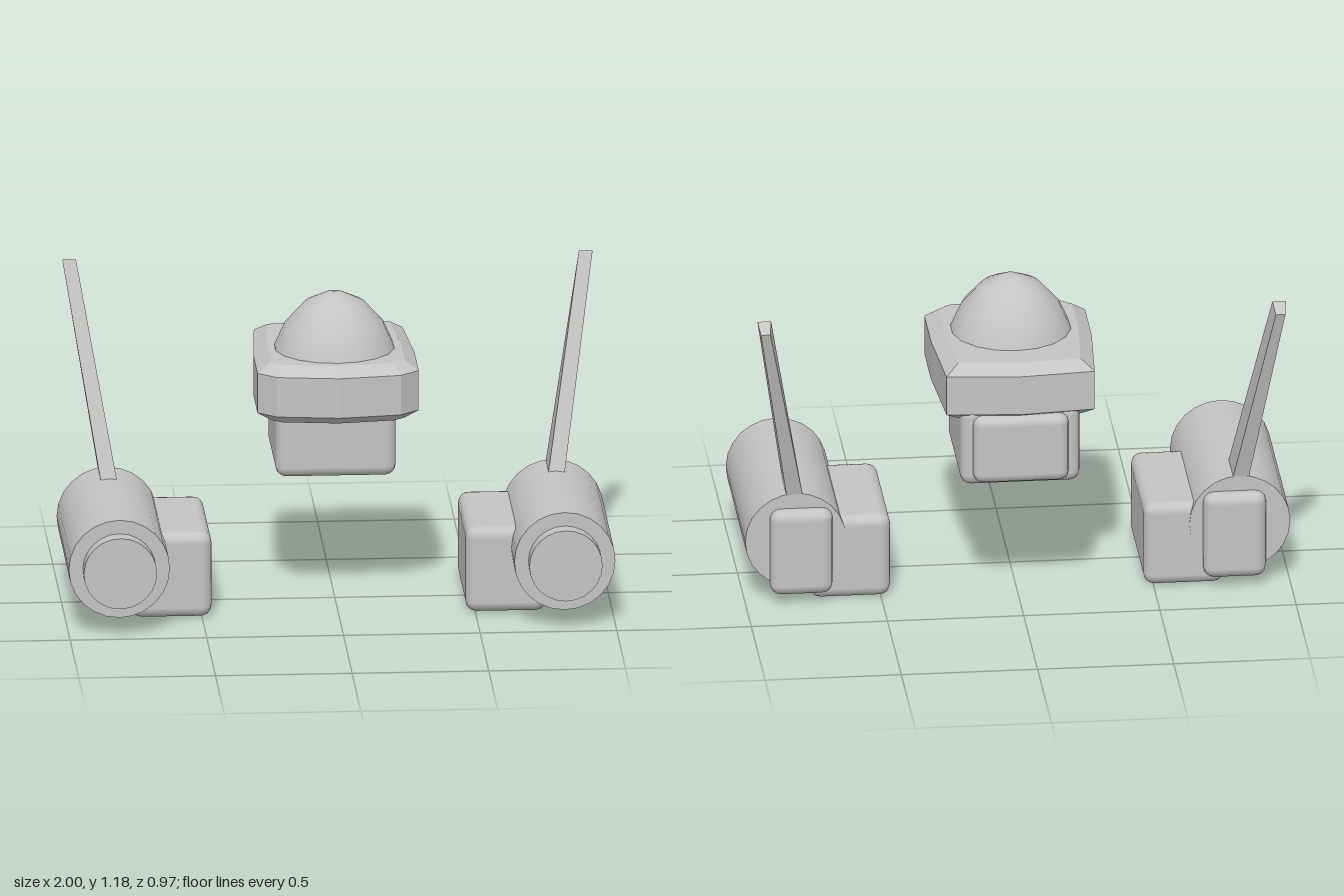
import * as THREE from 'three';
import { RoundedBoxGeometry } from 'three/addons/geometries/RoundedBoxGeometry.js';

const grey = new THREE.MeshStandardMaterial({ color: 0xc4c4c4 });
grey.name = 'light grey';

function add(parent, name, geometry, x = 0, y = 0, z = 0) {
  const mesh = new THREE.Mesh(geometry, grey);
  mesh.name = name;
  mesh.position.set(x, y, z);
  parent.add(mesh);
  return mesh;
}

// Soft-edged box given by its limits on each axis
function softBox(parent, name, [x0, x1], [y0, y1], [z0, z1], radius) {
  const geometry = new RoundedBoxGeometry(x1 - x0, y1 - y0, z1 - z0, 2, radius);
  return add(parent, name, geometry, (x0 + x1) / 2, (y0 + y1) / 2, (z0 + z1) / 2);
}

// Limits mirrored to the given side
const span = (side, a, b) => (side > 0 ? [a, b] : [-b, -a]);

// Cylinder along z between two depths
function barrel(parent, name, radius, z0, z1, x, y) {
  const geometry = new THREE.CylinderGeometry(radius, radius, z1 - z0, 24).rotateX(Math.PI / 2);
  return add(parent, name, geometry, x, y, (z0 + z1) / 2);
}

// Slab with bulging sides and bevelled rims
function brimGeometry() {
  const half = [[0, 0.228], [0.205, 0.2], [0.245, 0.165], [0.245, -0.05], [0.225, -0.342], [0, -0.362]];
  const outline = [...half, ...half.slice(1, -1).reverse().map(([x, z]) => [-x, z])];
  const shape = new THREE.Shape(outline.map(([x, z]) => new THREE.Vector2(x, -z)));
  return new THREE.ExtrudeGeometry(shape, {
    depth: 0.15, bevelEnabled: true, bevelSegments: 1, bevelSize: 0.05, bevelThickness: 0.034,
  }).rotateX(-Math.PI / 2);
}

// Tapered blade sweeping up, outward and back, with a slanted tip
function finGeometry(side) {
  const geometry = new THREE.BoxGeometry(1, 1, 1);
  const p = geometry.attributes.position;
  const mix = THREE.MathUtils.lerp;
  for (let i = 0; i < p.count; i++) {
    const tip = p.getY(i) > 0;
    const front = p.getZ(i) > 0;
    const width = tip ? (front ? 0.05 : 0.035) : 0.06;
    const x = side * (tip ? 0.945 : 0.812) + p.getX(i) * width;
    const y = tip ? (front ? 1.178 : 1.147) : 0.38;
    const z = tip ? mix(-0.482, -0.428, +front) : mix(-0.272, -0.108, +front);
    p.setXYZ(i, x, y, z);
  }
  geometry.computeVertexNormals();
  return geometry;
}

export function createModel() {
  const model = new THREE.Group();
  model.name = 'model';

  // Central head with brim, dome and back panel
  const head = new THREE.Group();
  head.name = 'head';
  model.add(head);
  softBox(head, 'headBlock', [-0.22, 0.22], [0.475, 0.78], [-0.395, 0.075], 0.04);
  softBox(head, 'backPanel', [-0.175, 0.175], [0.495, 0.755], [-0.432, -0.33], 0.035);
  add(head, 'brim', brimGeometry(), 0, 0.761, 0);
  const profile = [[0.222, 0.93], [0.22, 0.95], [0.182, 1.035], [0.11, 1.115], [0.032, 1.152], [0, 1.153]];
  const dome = new THREE.LatheGeometry(profile.map(([r, y]) => new THREE.Vector2(r, y)), 18);
  add(head, 'dome', dome, 0, 0, -0.028);

  // Side units: barrel, lens, inner pod, wrap-around pack and fin
  for (const side of [1, -1]) {
    const unit = new THREE.Group();
    unit.name = side > 0 ? 'leftUnit' : 'rightUnit';
    model.add(unit);
    barrel(unit, 'barrel', 0.185, -0.285, 0.42, side * 0.815, 0.244);
    barrel(unit, 'lens', 0.134, 0.4, 0.485, side * 0.815, 0.244);
    softBox(unit, 'innerPod', span(side, 0.465, 0.76), [0, 0.322], [-0.28, 0.245], 0.04);
    softBox(unit, 'pack', span(side, 0.68, 0.91), [0.037, 0.37], [-0.33, 0.17], 0.04);
    add(unit, 'fin', finGeometry(side));
  }
  return model;
}
